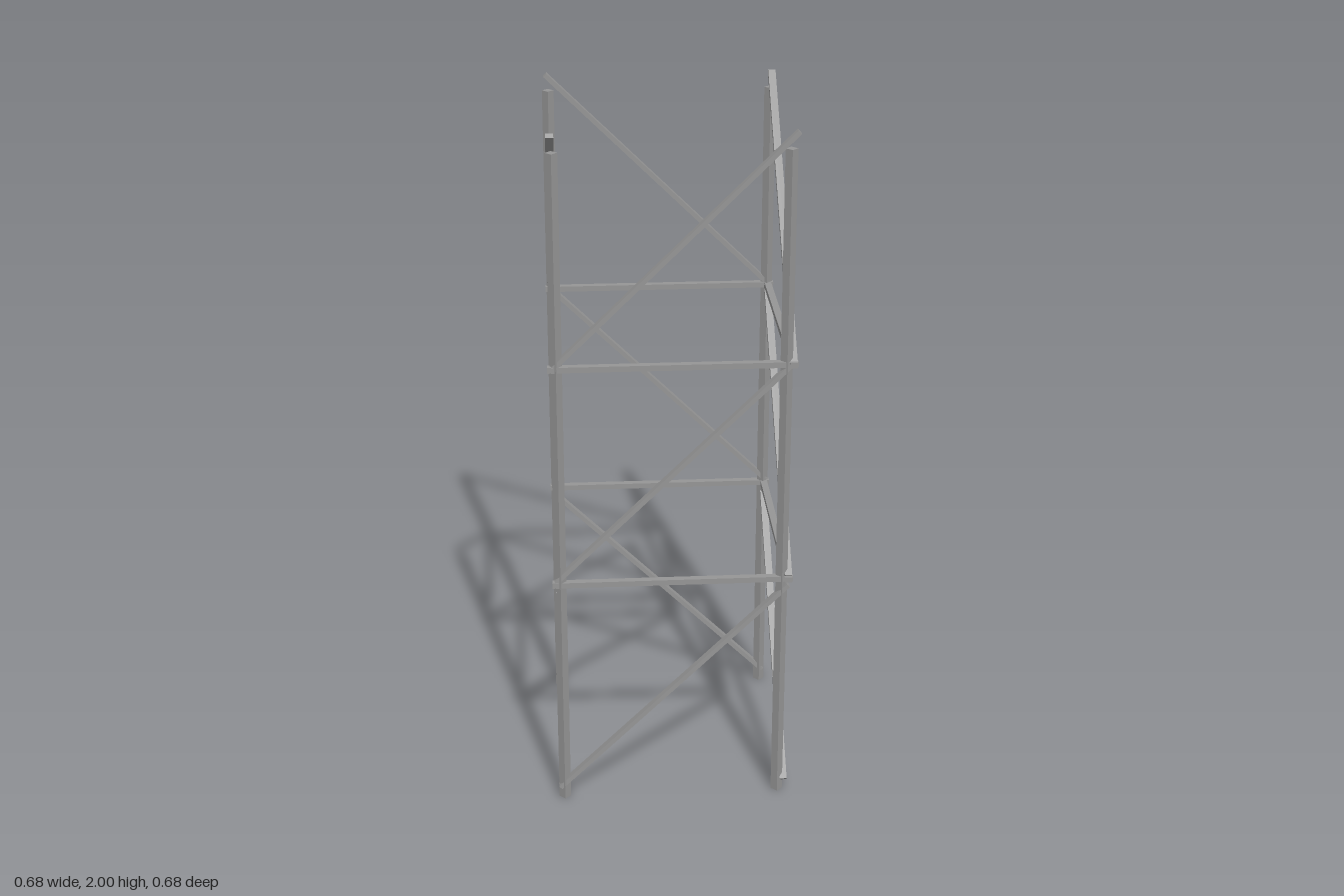
import * as THREE from 'three';

export function createModel() {
  const group = new THREE.Group();
  const material = new THREE.MeshStandardMaterial({ color: 0x969696, flatShading: true });

  // Upright posts: square section turned to a diamond in plan
  const legHeight = 1.95;
  const legs = [
    ['frontLeftLeg', 0.306, 0.322],
    ['frontRightLeg', -0.318, 0.323],
    ['backLeftLeg', 0.321, -0.322],
    ['backRightLeg', -0.317, -0.322],
  ];
  for (const [name, x, z] of legs) {
    const leg = new THREE.Mesh(new THREE.CylinderGeometry(0.0168, 0.0168, legHeight, 4), material);
    leg.position.set(x, legHeight / 2, z);
    leg.name = name;
    group.add(leg);
  }

  // Each side is built in its own plane, then turned about the tower axis
  const sides = [['front', 0.326], ['left', 0.3245], ['back', 0.322], ['right', 0.321]];
  const railHeights = [0.702, 1.352];
  const braceCentres = [0.358, 1.033, 1.673];
  const braceLength = 0.92;

  sides.forEach(([sideName, offset], i) => {
    const side = new THREE.Group();
    side.name = sideName + 'Side';
    side.rotation.y = i * Math.PI / 2;

    // Horizontal rails between the bays
    for (const y of railHeights) {
      const rail = new THREE.Mesh(new THREE.BoxGeometry(0.678, 0.016, 0.02), material);
      rail.position.set(-0.002, y, offset);
      rail.name = sideName + 'Rail';
      side.add(rail);
    }

    // One diagonal per bay, climbing the same way round the tower
    for (const y of braceCentres) {
      const brace = new THREE.Mesh(new THREE.BoxGeometry(braceLength, 0.013, 0.021), material);
      brace.position.set(-0.003, y, offset);
      brace.rotation.z = Math.atan2(0.64, 0.65);
      brace.name = sideName + 'Brace';
      side.add(brace);
    }
    group.add(side);
  });

  return group;
}
